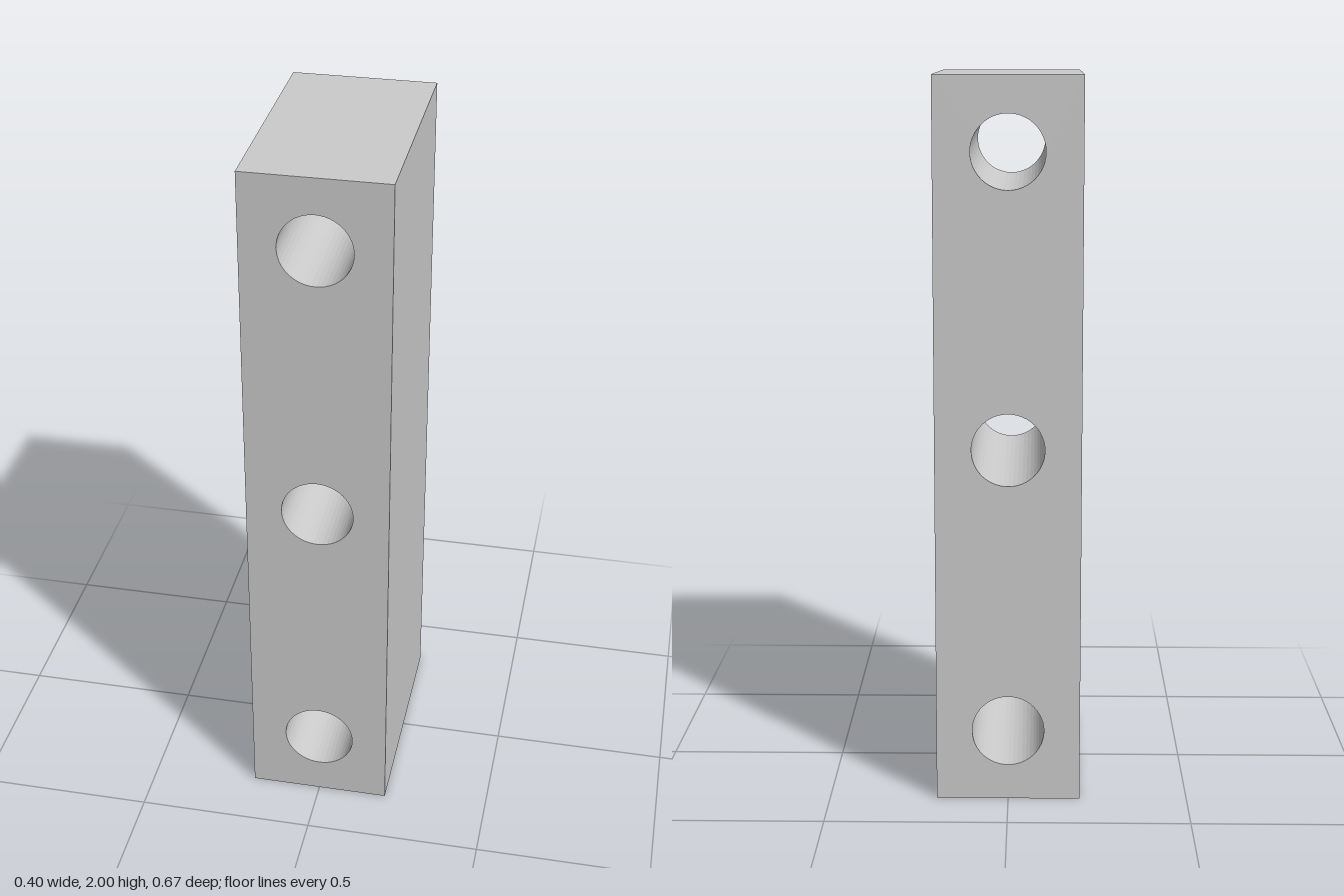
import * as THREE from 'three';

const WIDTH = 0.4, HEIGHT = 2, DEPTH = 0.666;
const HOLE_RADIUS = 0.1;
const HOLE_HEIGHTS = [0.2, 1, 1.8];

export function createModel() {
  const group = new THREE.Group();
  group.name = 'drilledBlock';

  // Front outline of the block
  const outline = new THREE.Shape();
  outline.moveTo(-WIDTH / 2, 0);
  outline.lineTo(WIDTH / 2, 0);
  outline.lineTo(WIDTH / 2, HEIGHT);
  outline.lineTo(-WIDTH / 2, HEIGHT);
  outline.closePath();

  // Round holes running through from front to back
  for (const y of HOLE_HEIGHTS) {
    const hole = new THREE.Path();
    hole.absarc(0, y, HOLE_RADIUS, 0, Math.PI * 2, true);
    outline.holes.push(hole);
  }

  const geometry = new THREE.ExtrudeGeometry(outline, {
    depth: DEPTH, bevelEnabled: false, curveSegments: 24,
  });
  geometry.translate(0, 0, -DEPTH / 2);

  const material = new THREE.MeshStandardMaterial({ color: 0xcccccc, flatShading: true });
  const block = new THREE.Mesh(geometry, material);
  block.name = 'block';
  group.add(block);
  return group;
}
